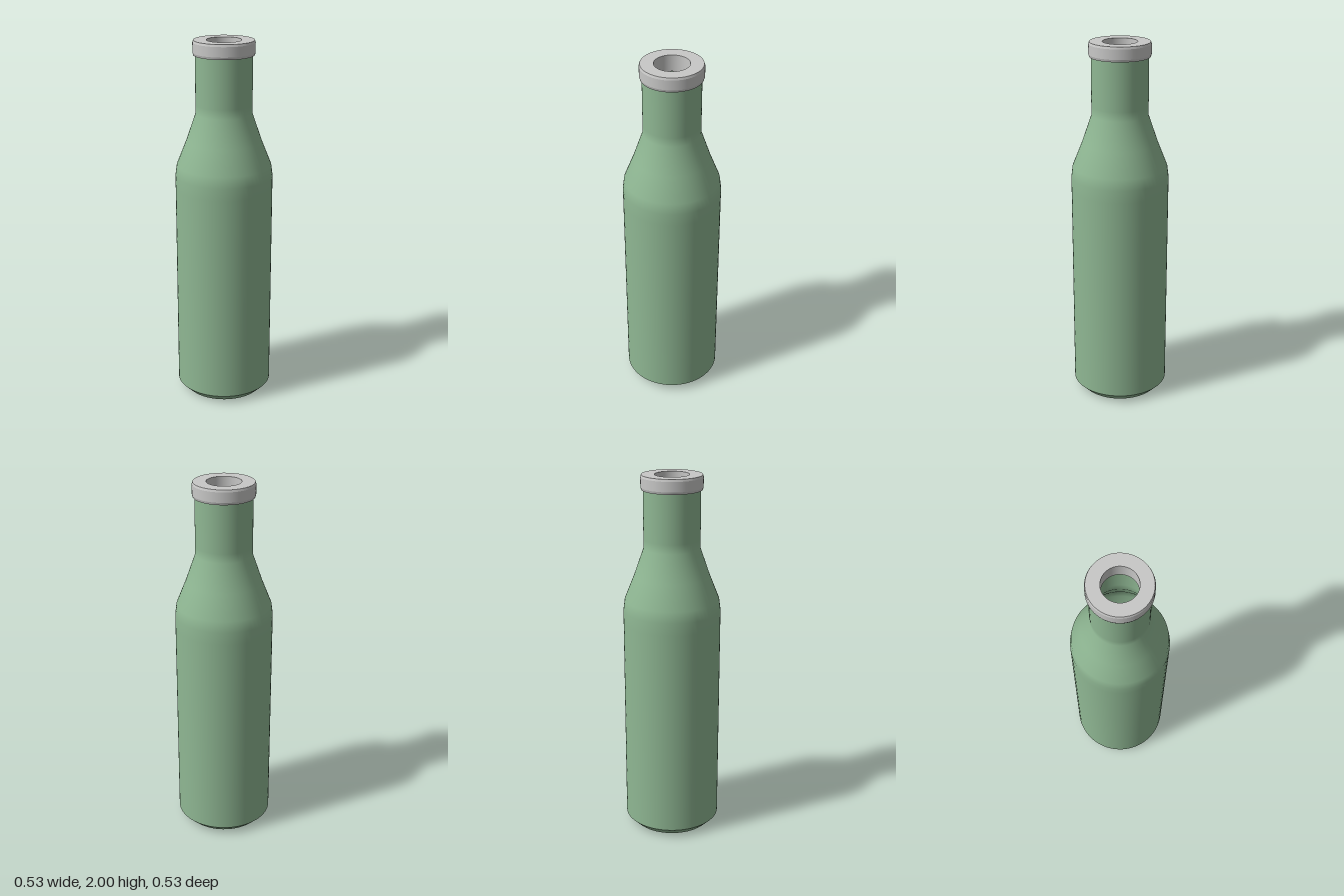
import * as THREE from 'three';

const SEGMENTS = 64;

export function createModel() {
  const bottle = new THREE.Group();
  bottle.name = 'bottle';

  const green = new THREE.MeshStandardMaterial({ color: 0x8fb793, side: THREE.DoubleSide });
  green.name = 'soft green';
  const grey = new THREE.MeshStandardMaterial({ color: 0xc8c8c7, side: THREE.DoubleSide });
  grey.name = 'light grey';

  // Turns a profile of [radius, height] points around the y axis
  function turn(name, profile, material, parent) {
    const points = profile.map(([r, y]) => new THREE.Vector2(r, y));
    const mesh = new THREE.Mesh(new THREE.LatheGeometry(points, SEGMENTS), material);
    mesh.name = name;
    parent.add(mesh);
  }

  // Thin shell, open at the bottom; separate pieces keep the base edge sharp
  turn('baseBevel', [[0.218, 0], [0.264, 0.045]], green, bottle);
  turn('body', [
    [0.264, 0.045], [0.264, 1.2], [0.264, 1.27], [0.256, 1.33], [0.204, 1.46],
    [0.152, 1.61], [0.152, 1.66], [0.152, 1.93],
  ], green, bottle);

  // Ring around the mouth, one sharp-edged band at a time
  const mouthRing = new THREE.Group();
  mouthRing.name = 'mouthRing';
  bottle.add(mouthRing);
  const ring = [
    [0.15, 1.922], [0.161, 1.922], [0.165, 1.935], [0.165, 1.988],
    [0.161, 2], [0.092, 2], [0.092, 1.91],
  ];
  const bands = ['underside', 'lowerBevel', 'rim', 'upperBevel', 'lip', 'innerWall'];
  bands.forEach((name, i) => turn(name, [ring[i], ring[i + 1]], grey, mouthRing));

  return bottle;
}
